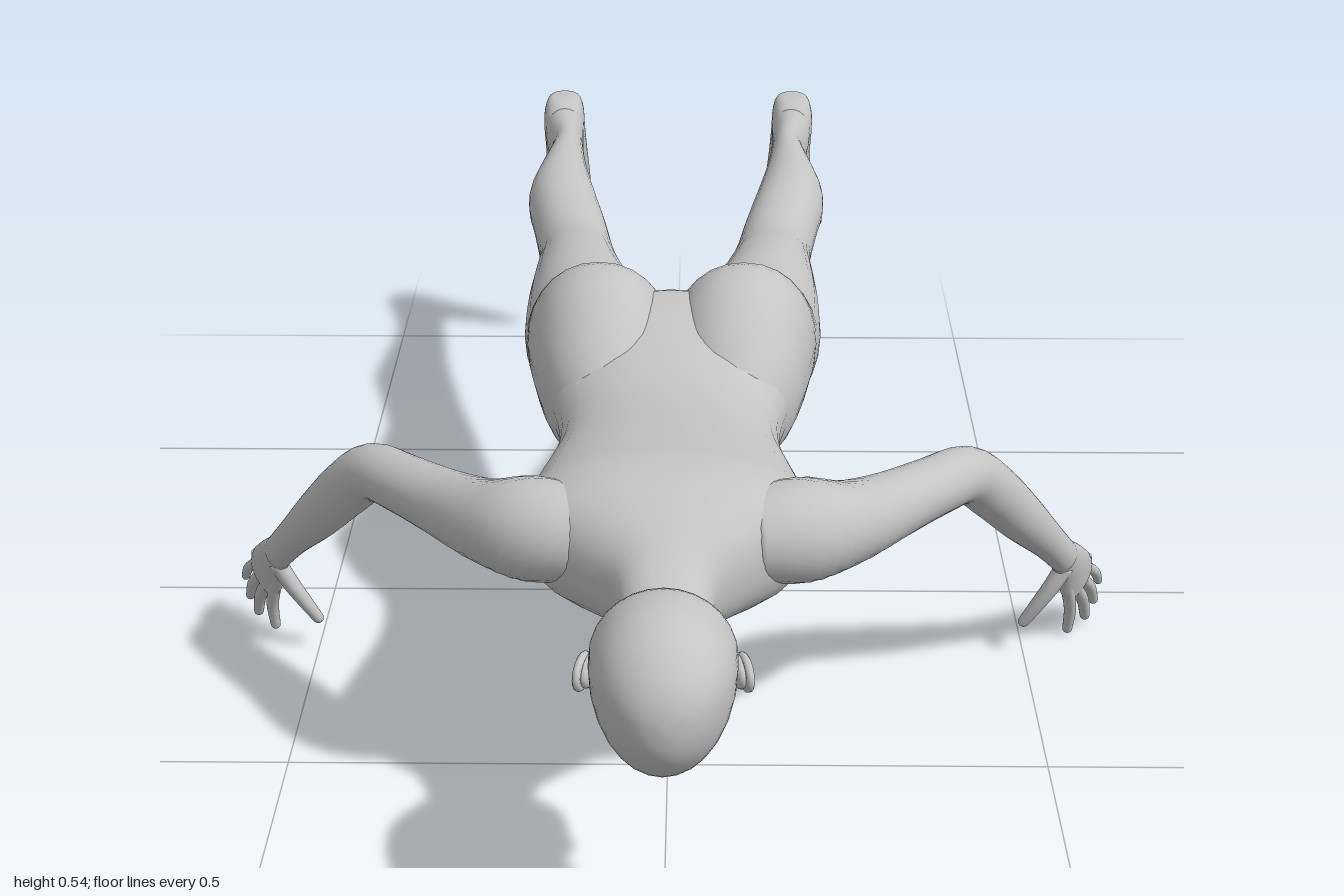
import * as THREE from 'three';

const V = (x, y, z) => new THREE.Vector3(x, y, z);
const SIDES = 28;

// Catmull-Rom interpolation of number rows
function smooth(rows, n = 4) {
  const out = [];
  const at = i => rows[Math.max(0, Math.min(rows.length - 1, i))];
  for (let i = 0; i < rows.length - 1; i++) {
    for (let k = 0; k < n; k++) {
      const t = k / n, [a, b, c, d] = [at(i - 1), at(i), at(i + 1), at(i + 2)];
      out.push(b.map((_, j) => 0.5 * (2 * b[j] + (c[j] - a[j]) * t
        + (2 * a[j] - 5 * b[j] + 4 * c[j] - d[j]) * t * t
        + (3 * b[j] - a[j] - 3 * c[j] + d[j]) * t * t * t)));
    }
  }
  out.push(rows[rows.length - 1]);
  return out;
}

// Closed skin over rings {c, u, up, down}; mirror = -1 builds the right side
function skin(rings, mirror = 1, power = 1) {
  const pos = [], idx = [], n = SIDES;
  const add = p => pos.push(p.x * mirror, p.y, p.z);
  const bend = t => Math.sign(t) * Math.abs(t) ** power;
  rings.forEach(({ c, u, up, down }) => {
    for (let i = 0; i < n; i++) {
      const a = i / n * Math.PI * 2, s = bend(Math.sin(a));
      add(c.clone().addScaledVector(u, bend(Math.cos(a))).addScaledVector(s > 0 ? up : down, s));
    }
  });
  const last = rings.length - 1, tip = rings.length * n;
  add(rings[0].c);
  add(rings[last].c);
  for (let i = 0; i < n; i++) {
    const j = (i + 1) % n;
    for (let r = 0; r < last; r++) {
      const a = r * n + i, b = r * n + j;
      idx.push(a, b, b + n, a, b + n, a + n);
    }
    idx.push(tip, j, i, tip + 1, last * n + i, last * n + j);
  }
  // turn faces outward
  let volume = 0;
  const p = i => V(pos[3 * i], pos[3 * i + 1], pos[3 * i + 2]);
  for (let i = 0; i < idx.length; i += 3) volume += p(idx[i]).dot(p(idx[i + 1]).cross(p(idx[i + 2])));
  if (volume < 0) idx.reverse();
  const g = new THREE.BufferGeometry();
  g.setAttribute('position', new THREE.Float32BufferAttribute(pos, 3));
  g.setIndex(idx);
  g.computeVertexNormals();
  return g;
}

// Rows [z, x0, x1, bottom, top] stacked along z; widest sets the height of greatest width
function alongZ(rows, mirror, widest = 0.5, power = 1) {
  return skin(smooth(rows).map(([z, x0, x1, lo, hi]) => {
    const y = lo + (hi - lo) * widest;
    return { c: V((x0 + x1) / 2, y, z), u: V((x1 - x0) / 2, 0, 0), up: V(0, hi - y, 0), down: V(0, y - lo, 0) };
  }), mirror, power);
}

// Rows [y, x0, x1, zBack, zFront] stacked along y
function alongY(rows, mirror) {
  return skin(smooth(rows).map(([y, x0, x1, z0, z1]) => {
    const v = V(0, 0, (z1 - z0) / 2);
    return { c: V((x0 + x1) / 2, y, (z0 + z1) / 2), u: V((x1 - x0) / 2, 0, 0), up: v, down: v };
  }), mirror, 0.85);
}

// Rows [x, y, z, width, thickness] along a free path, with a rounded end
function limb(rows, mirror, wide = V(0.6, 0.36, -0.72)) {
  const pts = smooth(rows);
  const ring = (c, dir, w, t) => {
    const v = dir.clone().cross(wide).normalize();
    const u = v.clone().cross(dir).normalize().multiplyScalar(w);
    v.multiplyScalar(t);
    return { c, u, up: v, down: v };
  };
  const at = i => V(...pts[Math.max(0, Math.min(pts.length - 1, i))]);
  const rings = pts.map((q, i) => ring(at(i), at(i + 1).sub(at(i - 1)).normalize(), q[3], q[4]));
  const end = pts.length - 1, [, , , w, t] = pts[end], dir = at(end).sub(at(end - 1)).normalize();
  for (const a of [0.4, 0.8, 1.15, 1.4]) {
    const k = Math.cos(a);
    rings.push(ring(at(end).addScaledVector(dir, t * Math.sin(a)), dir, w * k, t * k));
  }
  return skin(rings, mirror);
}

export function createModel() {
  const model = new THREE.Group();
  model.name = 'proneFigure';
  const grey = new THREE.MeshStandardMaterial({ color: 0xc4c4c4 });
  grey.name = 'plain grey';
  const put = (name, geo) => {
    const m = new THREE.Mesh(geo, grey);
    m.name = name;
    model.add(m);
    return m;
  };
  const blob = (name, x, y, z, a, b, c) => {
    const m = put(name, new THREE.SphereGeometry(1, 24, 16));
    m.position.set(x, y, z);
    m.scale.set(a, b, c);
    return m;
  };

  // Torso and neck: z, half width, bottom, top
  const torso = [
    [0.80, 0.050, 0.29, 0.39], [0.75, 0.056, 0.30, 0.405], [0.71, 0.068, 0.30, 0.428],
    [0.67, 0.115, 0.295, 0.452], [0.62, 0.170, 0.285, 0.472], [0.56, 0.182, 0.272, 0.478],
    [0.50, 0.176, 0.262, 0.472], [0.42, 0.162, 0.264, 0.463], [0.34, 0.148, 0.270, 0.456],
    [0.26, 0.148, 0.275, 0.457], [0.18, 0.165, 0.277, 0.475], [0.11, 0.182, 0.280, 0.500],
    [0.05, 0.180, 0.282, 0.500], [0.00, 0.140, 0.290, 0.450], [-0.03, 0.070, 0.310, 0.400],
    [-0.04, 0.010, 0.340, 0.360]];
  put('torso', alongZ(torso.map(([z, w, lo, hi]) => [z, -w, w, lo, hi]), 1, 0.55, 0.88));

  // Head with jaw: z, half width, bottom, top
  const head = [
    [1.000, 0.004, 0.340, 0.350], [0.995, 0.026, 0.312, 0.375], [0.98, 0.049, 0.285, 0.402],
    [0.95, 0.071, 0.257, 0.429], [0.91, 0.083, 0.240, 0.444], [0.87, 0.086, 0.234, 0.445],
    [0.84, 0.085, 0.233, 0.439], [0.80, 0.078, 0.227, 0.420], [0.77, 0.068, 0.224, 0.400],
    [0.745, 0.053, 0.222, 0.375], [0.727, 0.034, 0.230, 0.340], [0.72, 0.008, 0.260, 0.290]];
  put('head', alongZ(head.map(([z, w, lo, hi]) => [z, -w, w, lo, hi]), 1, 0.6));

  // Nose, lips and chin
  blob('noseBridge', 0, 0.232, 0.838, 0.009, 0.012, 0.028).rotation.x = -0.3;
  blob('noseTip', 0, 0.217, 0.815, 0.013, 0.013, 0.013);
  blob('upperLip', 0, 0.225, 0.786, 0.022, 0.008, 0.006);
  blob('lowerLip', 0, 0.224, 0.776, 0.019, 0.008, 0.006);
  blob('chin', 0, 0.230, 0.748, 0.024, 0.016, 0.018);

  const leg = [
    [0.23, 0.040, 0.140, 0.31, 0.440], [0.18, 0.012, 0.172, 0.290, 0.488],
    [0.12, 0.000, 0.190, 0.283, 0.528], [0.06, -0.002, 0.201, 0.280, 0.542],
    [0.00, 0.000, 0.207, 0.274, 0.518], [-0.05, 0.012, 0.212, 0.267, 0.488],
    [-0.10, 0.025, 0.216, 0.265, 0.476], [-0.20, 0.055, 0.216, 0.275, 0.469],
    [-0.30, 0.077, 0.213, 0.290, 0.455], [-0.40, 0.094, 0.211, 0.313, 0.438],
    [-0.50, 0.111, 0.225, 0.334, 0.446], [-0.60, 0.130, 0.239, 0.337, 0.461],
    [-0.70, 0.147, 0.226, 0.350, 0.464], [-0.80, 0.158, 0.212, 0.360, 0.463],
    [-0.88, 0.162, 0.225, 0.372, 0.462], [-0.94, 0.164, 0.228, 0.390, 0.462],
    [-0.98, 0.175, 0.218, 0.410, 0.455]];
  const foot = [
    [0.474, 0.190, 0.206, -0.975, -0.950], [0.470, 0.172, 0.223, -0.990, -0.925],
    [0.450, 0.164, 0.231, -0.998, -0.900], [0.420, 0.162, 0.232, -1.000, -0.890],
    [0.380, 0.159, 0.230, -0.999, -0.898], [0.330, 0.155, 0.234, -0.997, -0.934],
    [0.280, 0.154, 0.248, -0.999, -0.957], [0.250, 0.156, 0.254, -1.000, -0.967],
    [0.235, 0.160, 0.250, -0.998, -0.973], [0.230, 0.172, 0.238, -0.992, -0.980]];
  const arm = [
    [0.100, 0.395, 0.610, 0.060, 0.055], [0.165, 0.395, 0.595, 0.066, 0.062],
    [0.220, 0.385, 0.555, 0.054, 0.054], [0.280, 0.373, 0.480, 0.044, 0.046],
    [0.340, 0.367, 0.410, 0.039, 0.041], [0.390, 0.357, 0.350, 0.038, 0.038],
    [0.430, 0.315, 0.310, 0.038, 0.037], [0.475, 0.258, 0.270, 0.034, 0.032],
    [0.520, 0.200, 0.225, 0.026, 0.023], [0.548, 0.160, 0.193, 0.024, 0.018]];
  const palm = [
    [0.543, 0.168, 0.200, 0.022, 0.017], [0.560, 0.140, 0.173, 0.029, 0.016],
    [0.572, 0.112, 0.150, 0.036, 0.014], [0.580, 0.092, 0.136, 0.035, 0.011]];
  // Finger knuckle, tip and radius
  const fingers = {
    indexFinger: [0.562, 0.090, 0.160, 0.570, 0.011, 0.126, 0.0095],
    middleFinger: [0.575, 0.088, 0.143, 0.598, 0.018, 0.098, 0.0095],
    ringFinger: [0.586, 0.094, 0.127, 0.611, 0.036, 0.084, 0.009],
    littleFinger: [0.594, 0.106, 0.116, 0.617, 0.064, 0.078, 0.008]};
  const toes = [[0.173, 0.203, 0.016], [0.196, 0.207, 0.011], [0.214, 0.214, 0.0105],
    [0.231, 0.224, 0.010], [0.246, 0.236, 0.009]];

  for (const [side, s] of [['left', 1], ['right', -1]]) {
    // Leg, foot and toes
    put(side + 'Leg', alongZ(leg, s, 0.52, 0.95));
    put(side + 'Foot', alongY(foot, s));
    toes.forEach(([x, y, r], i) => put(`${side}Toe${i + 1}`, limb([
      [x, 0.262, -0.984, r, 0.013], [x, (0.262 + y) / 2, -0.983, r * 0.9, 0.012],
      [x, y, -0.986, r, 0.0125]], s, V(1, 0, 0))));

    // Arm, palm, fingers and thumb
    put(side + 'Arm', limb(arm, s));
    put(side + 'Palm', limb(palm, s));
    for (const [name, [x, y, z, tx, ty, tz, r]] of Object.entries(fingers)) {
      put(side + name, limb([
        [x - 0.004, y + 0.02, z + 0.01, r, r], [x, y, z, r, r],
        [(x + tx) / 2 + 0.004, (y + ty) / 2, (z + tz) / 2 - 0.003, r * 0.92, r * 0.92],
        [tx, ty, tz, r * 0.75, r * 0.75]], s));
    }
    put(side + 'Thumb', limb([[0.552, 0.143, 0.188, 0.015, 0.013], [0.535, 0.112, 0.190, 0.014, 0.012],
      [0.515, 0.080, 0.189, 0.011, 0.010], [0.499, 0.053, 0.185, 0.009, 0.008]], s));

    // Breast, eye, brow and ear
    blob(side + 'Breast', s * 0.082, 0.287, 0.485, 0.062, 0.049, 0.068);
    blob(side + 'Eye', s * 0.032, 0.245, 0.842, 0.014, 0.010, 0.009);
    blob(side + 'Brow', s * 0.034, 0.246, 0.862, 0.024, 0.010, 0.007);
    blob(side + 'Ear', s * 0.086, 0.332, 0.838, 0.010, 0.019, 0.027).rotation.y = s * 0.25;
    const rim = put(side + 'EarRim', new THREE.TorusGeometry(0.021, 0.005, 10, 24));
    rim.position.set(s * 0.094, 0.332, 0.84);
    rim.rotation.y = Math.PI / 2 + s * 0.25;
    rim.scale.set(1.15, 0.85, 1);
  }
  return model;
}
